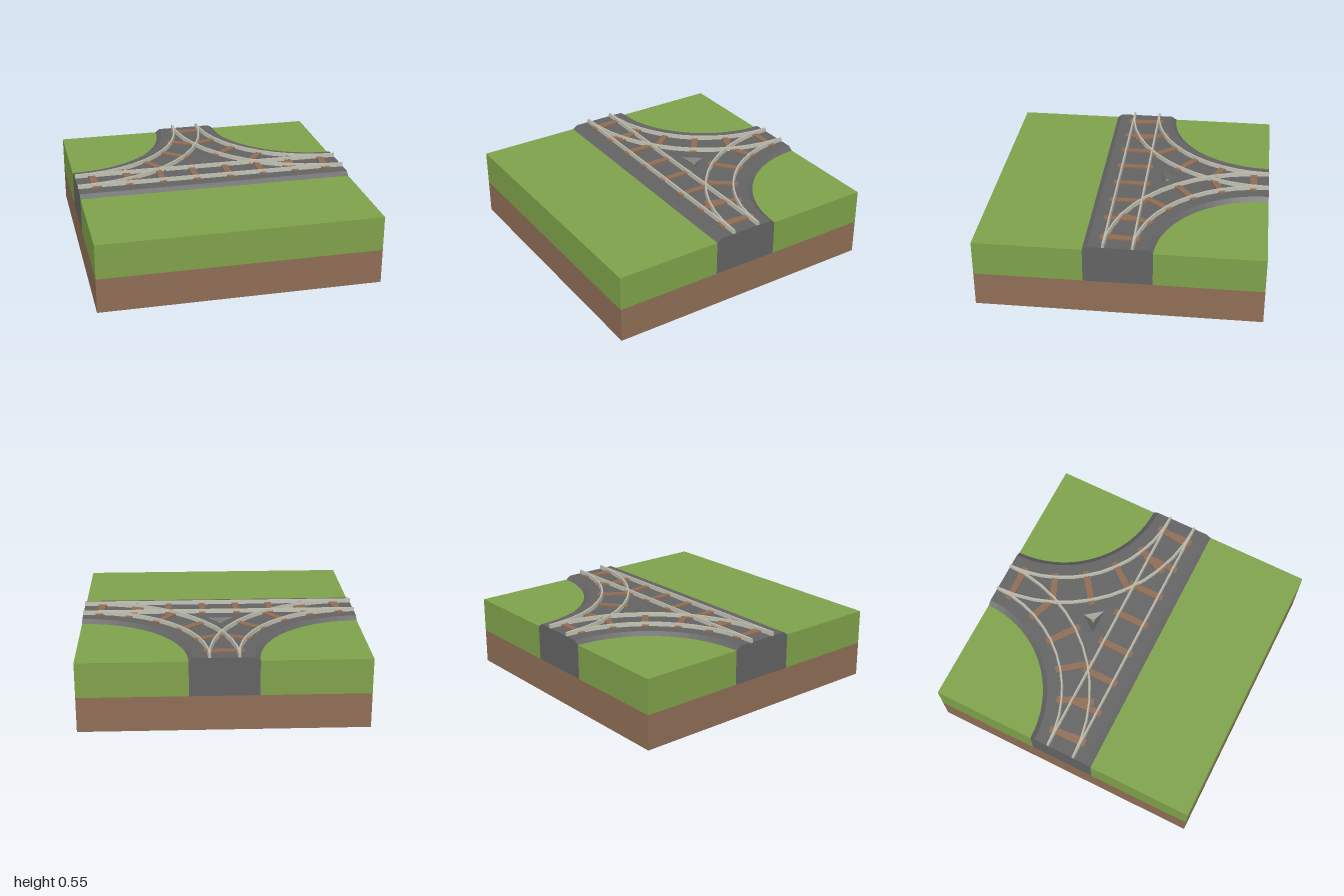
import * as THREE from 'three';

const mat = (name, color) => {
  const m = new THREE.MeshStandardMaterial({ color, side: THREE.DoubleSide, flatShading: true });
  m.name = name;
  return m;
};

// heights and half widths of the track bed
const MID = 0.25, GROUND = 0.5, BED = 0.525, FOOT = 0.24, CREST = 0.205;

// arc about a back corner (side = -1 or 1), running from the back edge to the side edge
function arc(side, r, steps = 18) {
  return Array.from({ length: steps + 1 }, (_, i) => {
    const a = (i / steps) * Math.PI / 2;
    return [side * (1 - r * Math.cos(a)), -1 + r * Math.sin(a)];
  });
}
const at = (pts, y) => pts.map(([x, z]) => new THREE.Vector3(x, y, z));

// ribbon of quads between two equally long rows of points
function strip(a, b) {
  const v = [];
  for (let i = 0; i < a.length - 1; i++) {
    for (const p of [a[i], b[i], b[i + 1], a[i], b[i + 1], a[i + 1]]) v.push(p.x, p.y, p.z);
  }
  const g = new THREE.BufferGeometry();
  g.setAttribute('position', new THREE.Float32BufferAttribute(v, 3));
  g.computeVertexNormals();
  return g;
}

// horizontal sheet from an outline in x and z
function sheet(outline, y, hole) {
  const toShape = (pts) => pts.map(([x, z]) => new THREE.Vector2(x, -z));
  const shape = new THREE.Shape(toShape(outline));
  if (hole) shape.holes.push(new THREE.Path(toShape(hole)));
  return new THREE.ShapeGeometry(shape).rotateX(-Math.PI / 2).translate(0, y, 0);
}

export function createModel() {
  const model = new THREE.Group();
  model.name = 'railJunctionTile';
  const grass = mat('grass', 0x7fa24a);
  const earth = mat('earth', 0x8f6e56);
  const gravel = mat('gravel', 0x636363);
  const steel = mat('steel', 0xb9b8aa);
  const wood = mat('wood', 0x8f6c54);

  const add = (name, geometry, material, parent = model) => {
    const m = new THREE.Mesh(geometry, material);
    m.name = name;
    parent.add(m);
    return m;
  };

  // side walls, open underneath; three sides are interrupted by a bed end
  for (let i = 0; i < 4; i++) {
    const side = new THREE.Group();
    side.name = 'wall';
    side.rotation.y = i * Math.PI / 2;
    model.add(side);
    const wall = (name, x0, x1, y0, y1, m) => add(name,
      new THREE.PlaneGeometry(x1 - x0, y1 - y0).translate((x0 + x1) / 2, (y0 + y1) / 2, 1), m, side);
    wall('earthWall', -1, 1, 0, MID, earth);
    if (i === 0) {
      wall('grassWall', -1, 1, MID, GROUND, grass);
      continue;
    }
    wall('grassWall', -1, -FOOT, MID, GROUND, grass);
    wall('grassWall', FOOT, 1, MID, GROUND, grass);
    const half = (s) => [[FOOT, MID], [FOOT, GROUND], [CREST, BED]]
      .map(([x, y]) => new THREE.Vector3(s * x, y, 1));
    add('bedEnd', strip(half(1), half(-1)), gravel, side);
  }

  // grass tops
  add('frontGrass', sheet([[-1, FOOT], [1, FOOT], [1, 1], [-1, 1]], GROUND), grass);
  for (const s of [-1, 1]) add('cornerGrass', sheet([[s, -1], ...arc(s, 1 - FOOT)], GROUND), grass);

  // track bed with a small pit between the three tracks
  const pit = (r, edge) => {
    const tip = -1 + Math.sqrt(r * r - 1);
    const x = Math.sqrt(r * r - (1 - edge) ** 2) - 1;
    return [[0, tip], [-x, -edge], [x, -edge]];
  };
  const pitTop = pit(1 + CREST, CREST).map(([x, z]) => [x, z]);
  const pitFloor = pit(1 + FOOT, FOOT);
  const outline = [[-1, CREST], [1, CREST], ...arc(1, 1 - CREST).reverse(), ...arc(-1, 1 - CREST)];
  add('bedTop', sheet(outline, BED, pitTop), gravel);
  add('pitFloor', sheet(pitFloor, GROUND), grass);
  const closed = (p) => [...p, p[0]];
  add('pitSlope', strip(at(closed(pitTop), BED), at(closed(pitFloor), GROUND)), gravel);
  add('frontSlope', strip(at([[-1, CREST], [1, CREST]], BED), at([[-1, FOOT], [1, FOOT]], GROUND)), gravel);
  for (const s of [-1, 1]) {
    add('curvedSlope', strip(at(arc(s, 1 - CREST), BED), at(arc(s, 1 - FOOT), GROUND)), gravel);
  }

  // rails: a tapered section swept along a path
  const section = [[-0.011, BED - 0.005], [-0.006, 0.553], [0.006, 0.553], [0.011, BED - 0.005]];
  function rail(path) {
    const rows = section.map(([d, y]) => path.map(([x, z], i) => {
      const p = path[Math.max(i - 1, 0)], q = path[Math.min(i + 1, path.length - 1)];
      const dx = q[0] - p[0], dz = q[1] - p[1], len = Math.hypot(dx, dz);
      // keep the ends flush with the tile edge
      return new THREE.Vector3(
        THREE.MathUtils.clamp(x - d * dz / len, -1, 1), y, Math.max(z + d * dx / len, -1));
    }));
    for (let i = 0; i < 3; i++) add('rail', strip(rows[i], rows[i + 1]), steel);
    for (const e of [0, path.length - 1]) {
      const c = rows.map((r) => r[e]);
      add('railEnd', strip([c[0], c[1]], [c[3], c[2]]), steel);
    }
  }
  for (const o of [-0.1, 0.1]) {
    rail([[-1, o], [1, o]]);
    for (const s of [-1, 1]) rail(arc(s, 1 + o, 12));
  }

  // sleepers
  const sleeper = (x, z, turn, length = 0.27) => {
    const m = add('sleeper', new THREE.BoxGeometry(length, 0.016, 0.047), wood);
    m.position.set(x, 0.528, z);
    m.rotation.y = turn;
  };
  for (let i = 0; i < 8; i++) sleeper(-0.875 + i * 0.25, 0, Math.PI / 2);
  sleeper(0, -0.887, 0, 0.28);
  for (const s of [-1, 1]) {
    for (let k = 1; k < 6; k++) {
      const a = (k + 0.5) * Math.PI / 12;
      const r = k === 1 ? 0.975 : 1;
      sleeper(s * (1 - r * Math.cos(a)), -1 + r * Math.sin(a), s * a, k === 1 ? 0.22 : 0.27);
    }
  }
  return model;
}
